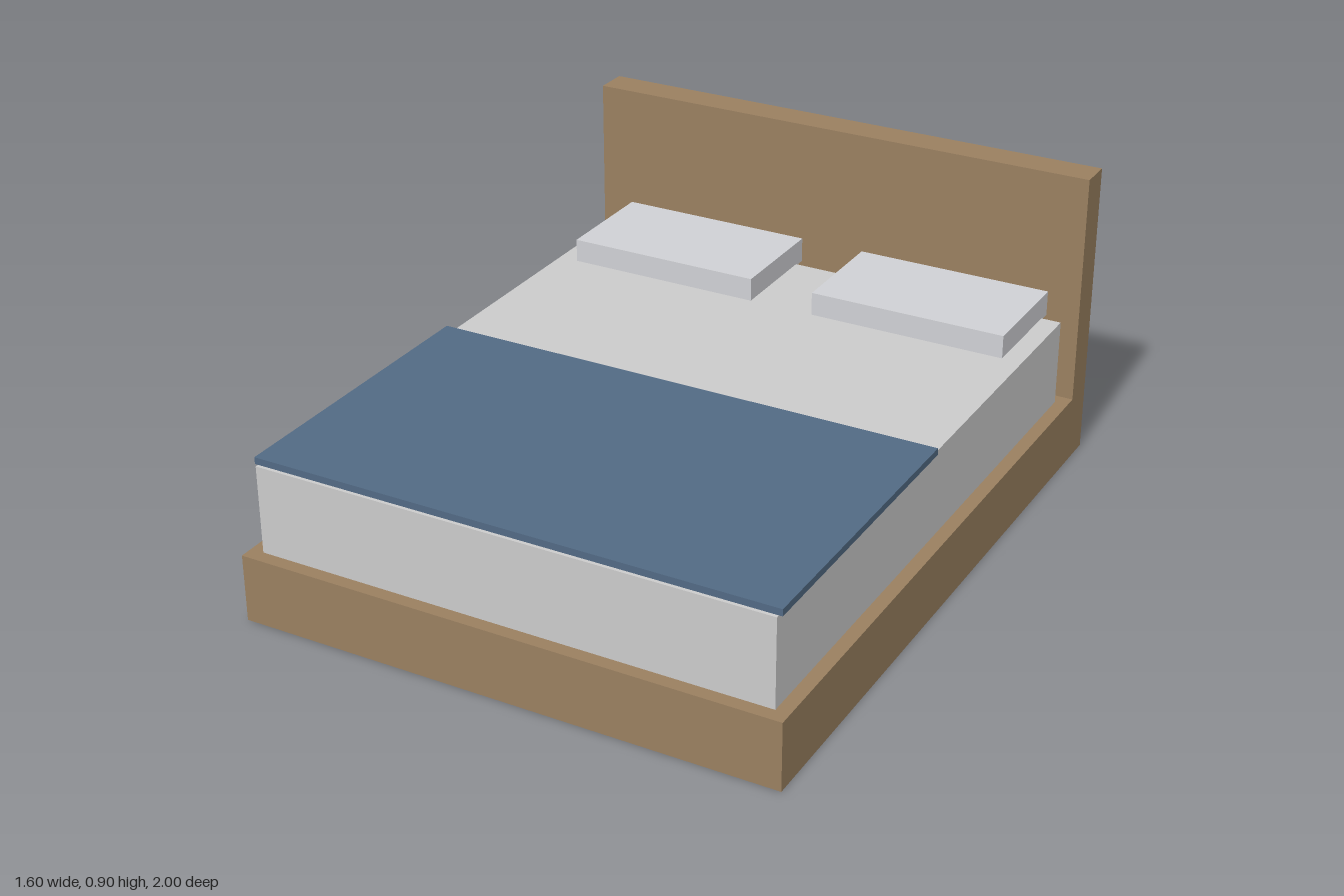
import * as THREE from 'three';

const material = (color) => new THREE.MeshStandardMaterial({ color });

// Box given by its extents along each axis
function slab(name, mat, [x0, x1], [y0, y1], [z0, z1]) {
  const mesh = new THREE.Mesh(new THREE.BoxGeometry(x1 - x0, y1 - y0, z1 - z0), mat);
  mesh.position.set((x0 + x1) / 2, (y0 + y1) / 2, (z0 + z1) / 2);
  mesh.name = name;
  return mesh;
}

export function createModel() {
  const bed = new THREE.Group();
  bed.name = 'bed';

  const wood = material(0x9a8060);
  const sheet = material(0xd4d2d0);
  const pillowCloth = material(0xd0d1d5);
  const blanketCloth = material(0x526a84);

  // Wooden frame
  bed.add(slab('bedBase', wood, [-0.8, 0.8], [0, 0.2], [-1, 1]));
  bed.add(slab('headboard', wood, [-0.8, 0.8], [0.2, 0.9], [-1, -0.9]));

  // Bedding
  bed.add(slab('mattress', sheet, [-0.76, 0.76], [0.2, 0.46], [-0.86, 0.96]));
  bed.add(slab('blanket', blanketCloth, [-0.77, 0.77], [0.46, 0.48], [0.05, 0.95]));

  // Pair of pillows pushed against the headboard, sunk slightly into the mattress
  for (const [name, x] of [['leftPillow', 0.4], ['rightPillow', -0.4]]) {
    bed.add(slab(name, pillowCloth, [x - 0.3, x + 0.3], [0.455, 0.53], [-0.91, -0.56]));
  }

  return bed;
}
